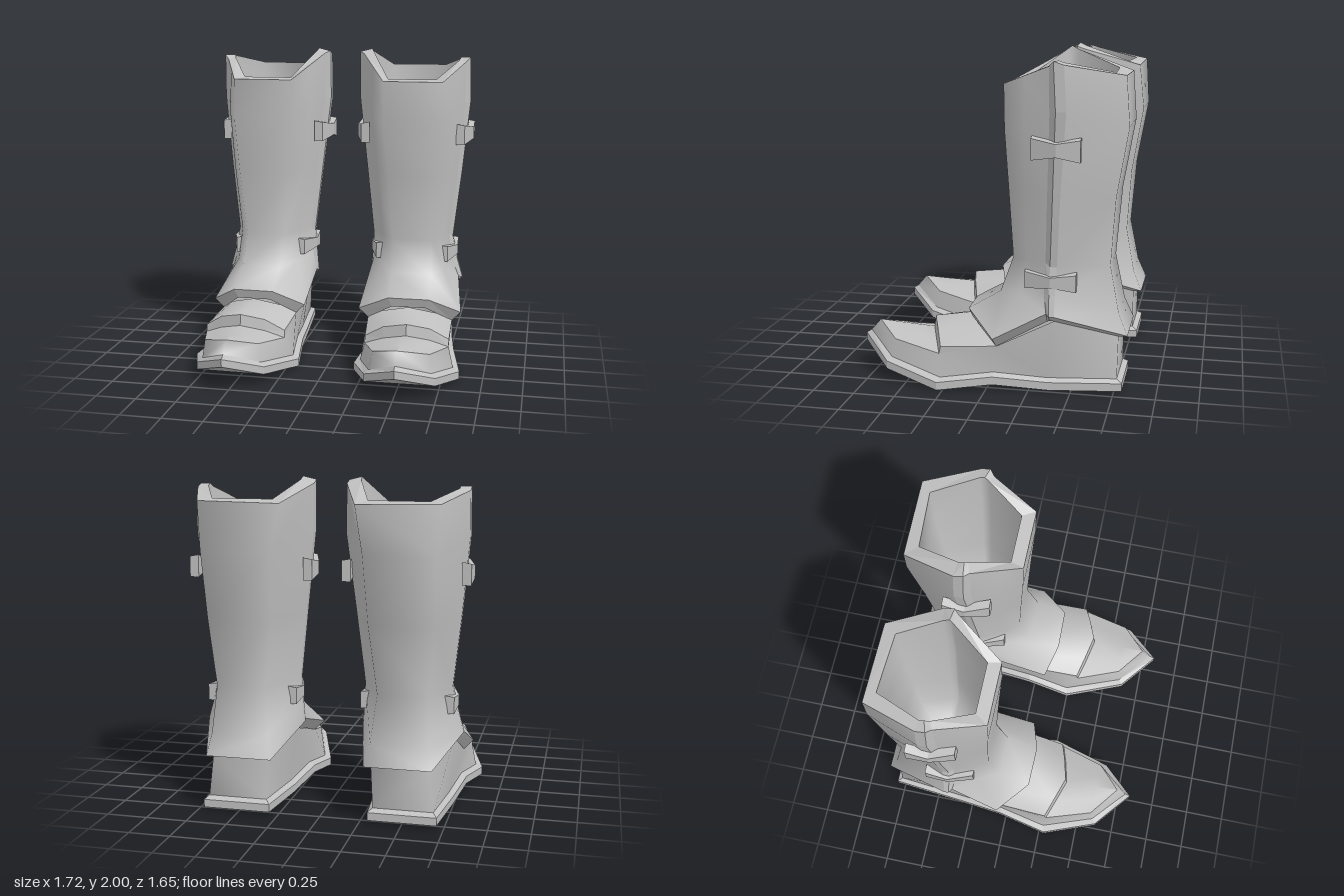
import * as THREE from 'three';
import { mergeGeometries } from 'three/addons/utils/BufferGeometryUtils.js';

const steel = new THREE.MeshStandardMaterial({ color: 0xc0c0c0, side: THREE.DoubleSide });
steel.name = 'grey steel';

// Surface through rows of points; closed joins each row's end to its start.
function grid(rows, closed = false, flat = false) {
  const n = rows[0].length, index = [];
  for (let r = 0; r < rows.length - 1; r++) {
    for (let c = 0; c < (closed ? n : n - 1); c++) {
      const a = r * n + c, b = r * n + (c + 1) % n;
      index.push(a, a + n, b, b, a + n, b + n);
    }
  }
  let g = new THREE.BufferGeometry();
  g.setAttribute('position', new THREE.Float32BufferAttribute(rows.flat(2), 3));
  g.setIndex(index);
  if (flat) g = g.toNonIndexed();
  g.computeVertexNormals();
  return g.index ? g.toNonIndexed() : g;
}

const mix = (a, b, t) => a.map((v, i) => v + (b[i] - v) * t);
const shift = ([x, y, z], dx, dy, dz) => [x + dx, y + dy, z + dz];

// Pull a ring of points towards an upright axis through the boot.
const inset = (ring, kx, kz, dy, cz) =>
  ring.map(([x, y, z]) => [0.51 + (x - 0.51) * kx, y + dy, cz + (z - cz) * kz]);

function buildBoot(side) {
  const boot = new THREE.Group();
  boot.name = side > 0 ? 'leftBoot' : 'rightBoot';

  function part(name, ...geometries) {
    const g = mergeGeometries(geometries);
    if (side < 0) {
      // mirror and restore the corner order
      for (const key of ['position', 'normal']) {
        const a = g.attributes[key].array;
        for (let i = 0; i < a.length; i += 9) {
          for (let k = 0; k < 3; k++) {
            const t = a[i + 3 + k];
            a[i + 3 + k] = a[i + 6 + k];
            a[i + 6 + k] = t;
          }
          for (let k = 0; k < 9; k += 3) a[i + k] *= -1;
        }
      }
    }
    const mesh = new THREE.Mesh(g, steel);
    mesh.name = name;
    boot.add(mesh);
  }

  // Front shin shell: outer seam, front corners, inner seam
  const shin = [
    [[0.80, 1.92, -0.37], [0.68, 1.81, -0.09], [0.30, 1.81, -0.09], [0.13, 1.97, -0.37]],
    [[0.80, 1.65, -0.375], [0.685, 1.55, -0.095], [0.30, 1.55, -0.095], [0.135, 1.65, -0.375]],
    [[0.765, 1.20, -0.36], [0.66, 1.20, -0.115], [0.335, 1.20, -0.115], [0.18, 1.20, -0.36]],
    [[0.72, 0.78, -0.345], [0.62, 0.78, -0.135], [0.37, 0.78, -0.135], [0.225, 0.78, -0.345]],
    [[0.745, 0.60, -0.34], [0.63, 0.57, -0.06], [0.38, 0.57, -0.06], [0.21, 0.60, -0.34]],
  ].map(([so, fo, fi, si], i) => {
    const bulge = i ? 0.01 : 0;
    return [so, shift(mix(so, fo, 0.5), bulge, 0, bulge), fo, fi,
      shift(mix(fi, si, 0.5), -bulge, 0, bulge), si];
  });
  shin.push([[0.785, 0.49, -0.36], [0.83, 0.33, -0.05], [0.64, 0.455, 0.135],
    [0.38, 0.455, 0.14], [0.18, 0.36, 0.08], [0.19, 0.49, -0.36]]);
  part('frontShell', grid(shin));

  // Back calf shell, standing slightly proud of the front one
  const calf = [
    [[0.83, 1.93, -0.46], [0.71, 1.87, -0.795], [0.22, 1.86, -0.79], [0.10, 1.96, -0.46]],
    [[0.835, 1.67, -0.475], [0.69, 1.58, -0.815], [0.27, 1.58, -0.815], [0.10, 1.67, -0.475]],
    [[0.79, 1.20, -0.44], [0.68, 1.17, -0.745], [0.29, 1.17, -0.745], [0.155, 1.20, -0.44]],
    [[0.74, 0.76, -0.415], [0.64, 0.76, -0.715], [0.34, 0.76, -0.715], [0.205, 0.76, -0.415]],
    [[0.775, 0.60, -0.41], [0.66, 0.48, -0.77], [0.31, 0.48, -0.77], [0.195, 0.60, -0.41]],
    [[0.81, 0.48, -0.41], [0.68, 0.352, -0.825], [0.28, 0.352, -0.825], [0.185, 0.48, -0.41]],
  ];
  part('backShell', grid(calf));

  // Seam ribs: a flat face on the back shell's edge, stepping to the front shell
  const ribDepth = [0.06, 0.06, 0.045, 0.04, 0.035, 0.03];
  const rib = (col) => calf.map((r, i) => shift(r[col], 0, i ? 0 : 0.02, ribDepth[i]));
  const ribOut = rib(0), ribIn = rib(3);
  part('seamRibs',
    grid(ribOut.map((p, i) => [calf[i][0], p]), false, true),
    grid(ribOut.map((p, i) => [p, shin[i][0]]), false, true),
    grid(ribIn.map((p, i) => [p, calf[i][3]]), false, true),
    grid(ribIn.map((p, i) => [shin[i][5], p]), false, true));

  // Lower hem: a lip turned under the shells, dropping most at the front
  const hem = [...shin[5], ribIn[5], calf[5][3], calf[5][2], calf[5][1], calf[5][0], ribOut[5]];
  const hemLow = [
    ...inset(hem.slice(0, 6), 0.82, 0.96, -0.06, -0.35),
    ...inset(hem.slice(6, 8), 0.82, 0.885, -0.04, -0.35),
    ...inset(hem.slice(8, 10), 0.85, 0.885, -0.012, -0.35),
    ...inset(hem.slice(10), 0.82, 0.885, -0.04, -0.35),
  ];
  part('lowerHem', grid([hem, hemLow], true, true));

  // Cuff rim and the hollow inside
  const t = shin[0], b = calf[0];
  const rimOuter = [t[0], t[2], t[3], t[5], ribIn[0], b[3], b[2], b[1], b[0], ribOut[0]];
  const rimInner = [[0.755, 1.93, -0.39], [0.63, 1.82, -0.17], [0.32, 1.82, -0.17],
    [0.19, 1.985, -0.39], [0.18, 2.0, -0.41], [0.185, 1.98, -0.45], [0.28, 1.88, -0.71],
    [0.64, 1.88, -0.73], [0.765, 1.94, -0.45], [0.765, 1.95, -0.42]];
  const level = (k, y) => inset(rimInner, k, k, 0, -0.44).map(([x, , z]) => [x, y, z]);
  part('cuffRim', grid([rimOuter, rimInner], true, true));
  part('cuffLining', grid([rimInner, level(0.98, 1.55), level(0.85, 1.15), level(0.75, 0.85),
    level(0.4, 0.75), level(0.01, 0.74)], true));

  // Sole outline from the toe round the heel and back: x, z, underside height
  const outline = [
    [0.52, 0.825, 0.17], [0.74, 0.625, 0.07], [0.855, 0.285, 0.0], [0.79, -0.04, 0.035],
    [0.75, -0.37, 0.01], [0.71, -0.80, 0.02], [0.30, -0.80, 0.02], [0.26, -0.37, 0.01],
    [0.22, -0.04, 0.035], [0.18, 0.25, 0.0], [0.31, 0.63, 0.07],
  ];
  const soleLow = outline.map(([x, z, y]) => [x, y, z]);
  const soleTop = outline.map(([x, z, y]) => [x, y + 0.048, z]);
  const wallLow = inset(soleTop, 0.88, 0.96, 0.02, 0);
  const across = [[0, 0], [1, 10], [2, 9], [3, 8], [4, 7], [5, 6]];
  part('sole', grid([soleLow, soleTop], true, true),
    grid([soleTop, wallLow], true, true),
    grid(across.map(([o, i]) => [soleLow[o], soleLow[i]])));

  // Overlapping instep plate with a thick pointed front edge
  const plateBack = [hemLow[1], mix(hemLow[1], hemLow[2], 0.6), mix(hemLow[2], hemLow[3], 0.5),
    mix(hemLow[4], hemLow[3], 0.6), hemLow[4]];
  const plateFront = [[0.785, 0.25, 0.275], [0.67, 0.325, 0.32], [0.53, 0.36, 0.37],
    [0.38, 0.325, 0.335], [0.26, 0.25, 0.30]];
  const plateLip = plateFront.map((p, i) => shift(p, 0, i % 4 ? -0.07 : -0.045, 0.01));
  part('instepPlate', grid([plateBack, plateFront]),
    grid([plateFront, plateLip], false, true),
    grid([[hemLow[1], plateFront[0]], [hemLow[1], plateLip[0]]], false, true),
    grid([[plateFront[4], hemLow[4]], [plateLip[4], hemLow[4]]], false, true));

  // Foot wall from the sole up to the toe edge, instep plate and hem
  const wallTop = [[0.52, 0.31, 0.73], [0.70, 0.25, 0.58], plateLip[0], hemLow[1], hemLow[10],
    hemLow[9], hemLow[8], hemLow[7], hemLow[4], plateLip[4], [0.355, 0.25, 0.59]];
  part('footWall', grid([wallLow, wallTop], true));

  // Toe cap with a soft centre ridge
  const ridge = [0.525, 0.30, 0.58];
  part('toeCap', grid([
    Array(5).fill(wallTop[0]),
    [wallTop[1], mix(wallTop[1], ridge, 0.5), ridge, mix(wallTop[10], ridge, 0.5), wallTop[10]],
    plateLip,
  ]));

  // Bow-shaped straps: front, middle and rear stations across each seam
  function strap(name, y, h, zs, xs, out) {
    const rows = zs.map((z, i) => {
      const k = i === 1 ? h * 0.6 : h, xi = xs[i] - out * 0.055;
      return [[xs[i], y + k * 0.85, z], [xs[i], y - k, z], [xi, y - k, z], [xi, y + k, z]];
    });
    const cap = (r) => grid([[r[0], r[1]], [r[3], r[2]]], false, true);
    part(name, grid(rows, true, true), cap(rows[0]), cap(rows[2]));
  }
  const highZ = [-0.27, -0.42, -0.56], lowZ = [-0.22, -0.38, -0.53];
  strap('upperOuterStrap', 1.46, 0.068, highZ, [0.81, 0.86, 0.855], 1);
  strap('upperInnerStrap', 1.46, 0.068, highZ, [0.13, 0.082, 0.09], -1);
  strap('lowerOuterStrap', 0.675, 0.055, lowZ, [0.72, 0.775, 0.765], 1);
  strap('lowerInnerStrap', 0.68, 0.055, lowZ, [0.245, 0.19, 0.20], -1);
  return boot;
}

export function createModel() {
  const model = new THREE.Group();
  model.name = 'armouredBoots';
  for (const side of [1, -1]) model.add(buildBoot(side));
  return model;
}
